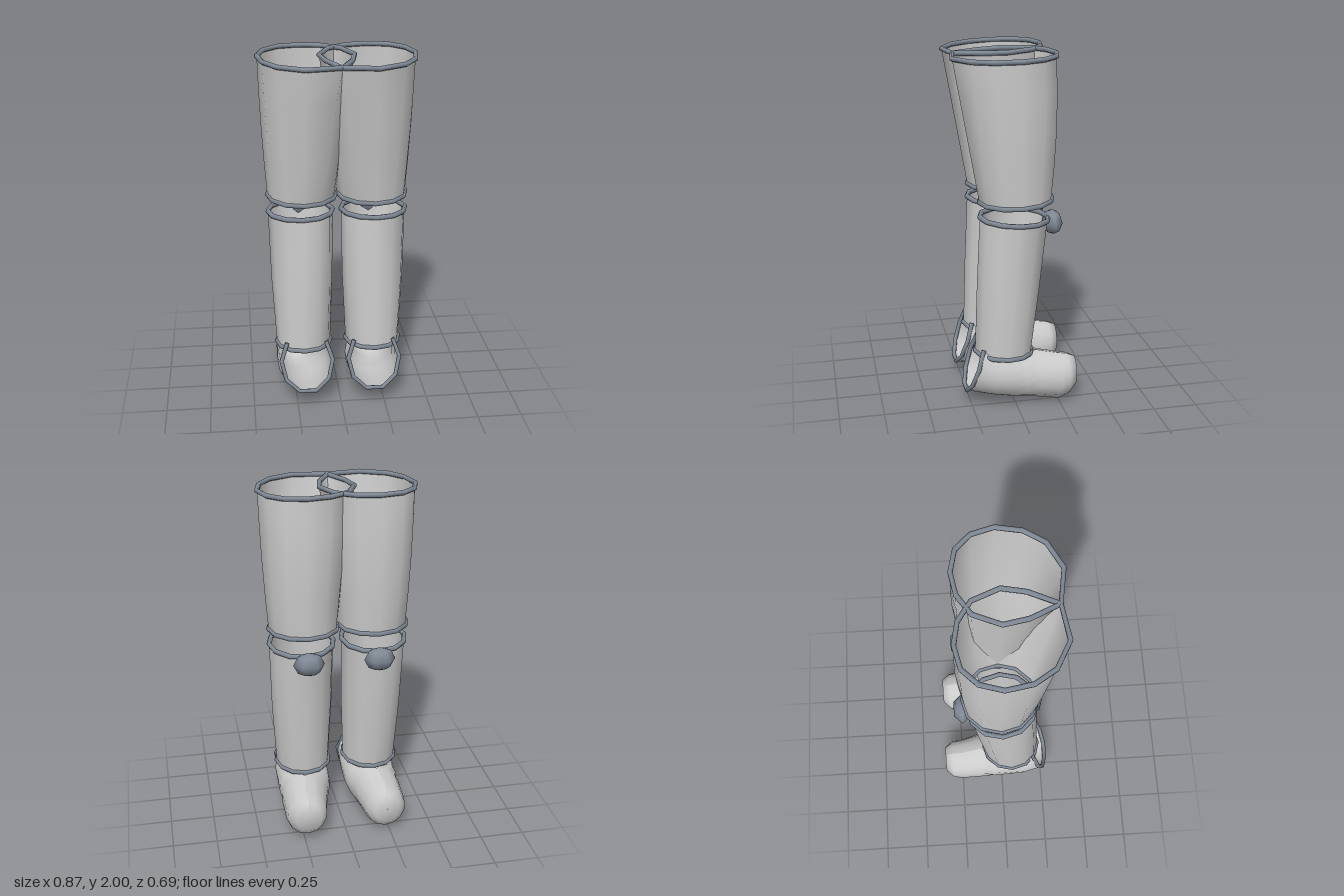
import * as THREE from 'three';

const SIDES = 12;
const V = (x, y, z) => new THREE.Vector3(x, y, z);
const plate = new THREE.MeshStandardMaterial({ color: 0xcccccc, side: THREE.DoubleSide });
const trim = new THREE.MeshStandardMaterial({ color: 0x808a96, side: THREE.DoubleSide });

function addMesh(parent, name, geometry, material) {
  const mesh = new THREE.Mesh(geometry, material);
  mesh.name = name;
  parent.add(mesh);
  return mesh;
}

// Skin through rows of points; closed rows wrap round
function loft(rows, closed, flip) {
  const n = rows[0].length, index = [];
  for (let r = 0; r < rows.length - 1; r++) {
    for (let c = 0; c < (closed ? n : n - 1); c++) {
      const a = r * n + c, b = r * n + (c + 1) % n, d = a + n, e = b + n;
      if (flip) index.push(a, d, b, b, d, e);
      else index.push(a, b, d, b, e, d);
    }
  }
  const g = new THREE.BufferGeometry().setFromPoints(rows.flat());
  g.setIndex(index);
  g.computeVertexNormals();
  return g;
}

// Faceted tube running straight from point to point
function edging(points, radius, closed) {
  const curve = new THREE.CatmullRomCurve3(points, closed);
  curve.getPointAt = (u, target) => curve.getPoint(u, target);
  curve.getTangentAt = (u, target) => curve.getTangent(u, target);
  return new THREE.TubeGeometry(curve, closed ? points.length : points.length - 1, radius, 6, closed);
}

// Oval row of points, tilted along z by the slope
function oval(x, y, z, rx, rz, slope) {
  return Array.from({ length: SIDES }, (_, i) => {
    const a = i / SIDES * Math.PI * 2, pz = z - rz * Math.sin(a);
    return V(x + rx * Math.cos(a), y + slope * pz, pz);
  });
}

// Foot section: arc around the sole, open at the top unless reach is PI
function footSection([z, x, w, bottom, h, reach, rake = 0]) {
  return Array.from({ length: 15 }, (_, i) => {
    const a = -reach + 2 * reach * i / 14, y = bottom + h * (1 - Math.cos(a));
    return V(x + w * Math.sin(a), y, z + rake * (y - bottom));
  });
}

function createLeg(side) {
  const leg = new THREE.Group();
  leg.name = side > 0 ? 'leftLeg' : 'rightLeg';
  const mirror = row => row.map(p => V(p.x * side, p.y, p.z));
  const shell = (name, rows, closed) =>
    addMesh(leg, name, loft(rows.map(mirror), closed, side < 0), plate);
  const rim = (name, row, closed = true, radius = 0.014) =>
    addMesh(leg, name, edging(mirror(row), radius, closed), trim);

  // Thigh: round at the knee, wide and drawn out to the back at the hip
  const thighBottom = oval(0.195, 1.2, -0.01, 0.193, 0.2, -0.03);
  const thighTop = [[0.425, 0], [0.39, -0.12], [0.31, -0.2], [0.19, -0.227], [0.07, -0.205],
    [-0.035, -0.135], [-0.095, 0.01], [-0.07, 0.14], [0, 0.295], [0.19, 0.325], [0.33, 0.25], [0.4, 0.14]]
    .map(([x, z]) => V(x, 1.98 - 0.03 * z, z));
  const thighRows = [];
  for (let r = 0; r <= 4; r++) {
    const t = r / 4, bulge = Math.sin(t * Math.PI);
    thighRows.push(thighBottom.map((p, i) => {
      const q = p.clone().lerp(thighTop[i], t);
      if (q.z < 0) q.z -= 0.08 * bulge * -q.z;
      q.x += (q.x > 0.25 ? 0.006 : 0) * bulge;
      return q;
    }));
  }
  shell('thighPlate', thighRows, true);
  rim('thighTopRim', thighTop);
  rim('thighBottomRim', thighBottom);

  // Shin: slopes back towards the ankle
  const shinBottom = oval(0.2, 0.315, 0.06, 0.155, 0.162, 0.05);
  const shinTop = oval(0.205, 1.103, 0, 0.182, 0.19, 0.05);
  shell('shinPlate', [shinBottom, oval(0.203, 0.7, 0.031, 0.174, 0.178, 0.05), shinTop], true);
  rim('shinTopRim', shinTop);
  rim('shinBottomRim', shinBottom);

  // Knee boss
  const knee = addMesh(leg, 'kneeBoss', new THREE.SphereGeometry(1, 6, 4), trim);
  knee.scale.set(0.087, 0.07, 0.055);
  knee.rotation.y = Math.PI;
  knee.position.set(0.197 * side, 1.06, -0.217);

  // Foot: toe to heel, open above the ankle and at the heel
  const foot = [
    [-0.35, 0.23, 0.001, 0.16, 0.001, Math.PI],
    [-0.35, 0.23, 0.075, 0.07, 0.09, Math.PI],
    [-0.305, 0.23, 0.113, 0.025, 0.121, Math.PI],
    [-0.25, 0.23, 0.12, 0.003, 0.137, Math.PI],
    [-0.12, 0.215, 0.138, 0.022, 0.14, Math.PI],
    [-0.05, 0.205, 0.15, 0.028, 0.148, 2.6],
    [0.02, 0.2, 0.155, 0.034, 0.155, 2.3],
    [0.13, 0.2, 0.155, 0.055, 0.152, 2.25],
    [0.28, 0.192, 0.147, 0.09, 0.168, 2.28, -0.32],
  ].map(footSection);
  shell('footPlate', foot, false);
  rim('heelRim', foot[foot.length - 1].filter((_, i) => i % 2 === 0), false, 0.013);
  return leg;
}

export function createModel() {
  const model = new THREE.Group();
  model.name = 'legArmour';
  for (const side of [1, -1]) model.add(createLeg(side));
  return model;
}
